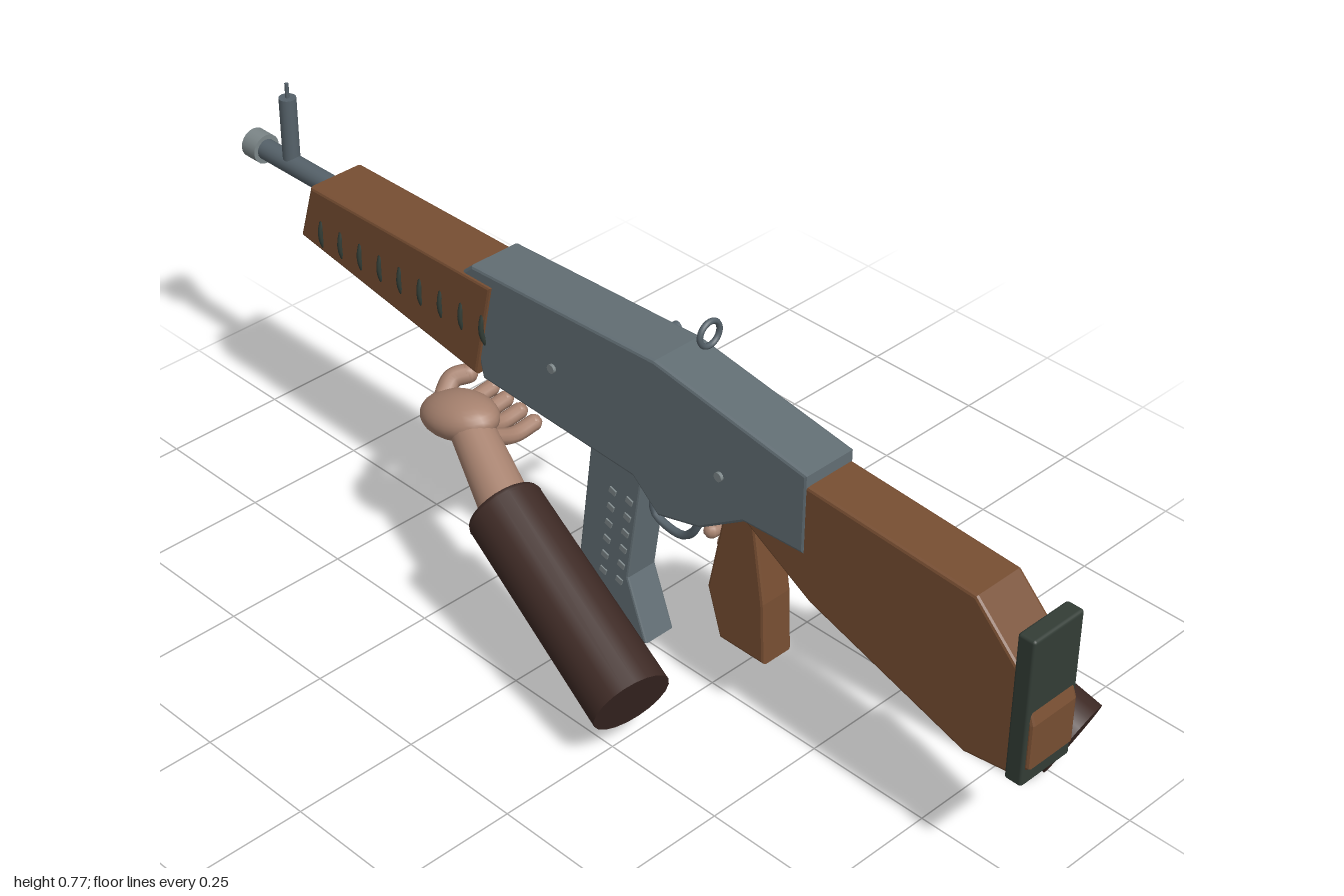
import * as THREE from 'three';
import { RoundedBoxGeometry } from 'three/addons/geometries/RoundedBoxGeometry.js';

const mat = (name, color) => {
  const m = new THREE.MeshStandardMaterial({ color });
  m.name = name;
  return m;
};

export function createModel() {
  const root = new THREE.Group();
  root.name = 'rifleWithArms';
  const steel = mat('steel', 0x626e74);
  const darkSteel = mat('darkSteel', 0x56626a);
  const lightSteel = mat('lightSteel', 0x7c8688);
  const wood = mat('wood', 0x774e32);
  const rubber = mat('rubber', 0x333d36);
  const skin = mat('skin', 0xa88370);
  const cloth = mat('cloth', 0x3e2a25);
  const V = (x, y, z) => new THREE.Vector3(x, y, z);

  const add = (name, geometry, material, parent = root) => {
    const m = new THREE.Mesh(geometry, material);
    m.name = name;
    parent.add(m);
    return m;
  };

  // Side profile in (z, y), extruded across x with a small bevel
  const plank = (name, pts, halfWidth, material, bevel = 0.006) => {
    const shape = new THREE.Shape(pts.map(p => new THREE.Vector2(p[0], p[1])));
    const depth = 2 * (halfWidth - bevel);
    const g = new THREE.ExtrudeGeometry(shape, {
      depth, bevelEnabled: true, bevelSize: bevel, bevelOffset: -bevel,
      bevelThickness: bevel, bevelSegments: 2,
    });
    g.translate(0, 0, -depth / 2);
    g.rotateY(-Math.PI / 2);
    return add(name, g, material);
  };

  // Cylinder between two points
  const rod = (name, a, b, ra, rb, material, parent = root, sides = 16) => {
    const d = b.clone().sub(a);
    const m = add(name, new THREE.CylinderGeometry(rb, ra, d.length(), sides), material, parent);
    m.position.copy(a).addScaledVector(d, 0.5);
    m.quaternion.setFromUnitVectors(V(0, 1, 0), d.normalize());
    return m;
  };

  // Rounded limb along a few points
  const finger = (name, pts, r, parent) => {
    const curve = new THREE.CatmullRomCurve3(pts);
    add(name, new THREE.TubeGeometry(curve, 10, r, 10), skin, parent);
    for (const p of [pts[0], pts[pts.length - 1]])
      add(name + 'Tip', new THREE.SphereGeometry(r, 10, 8), skin, parent).position.copy(p);
  };

  // Receiver
  plank('receiver', [[0.505, 0.62], [0.15, 0.675], [-0.31, 0.657], [-0.335, 0.635], [-0.287, 0.427],
    [0.1, 0.41], [0.163, 0.357], [0.265, 0.385], [0.367, 0.453], [0.505, 0.46]], 0.057, steel);
  for (const s of [-1, 1])
    for (const [z, y] of [[0.31, 0.52], [-0.1, 0.54]])
      rod('rivet', V(s * 0.055, y, z), V(s * 0.063, y, z), 0.009, 0.009, lightSteel, root, 10);

  // Stock and butt pad
  plank('stock', [[0.5, 0.598], [0.866, 0.577], [0.97, 0.475], [1, 0.39], [1, 0.3], [0.955, 0.268],
    [0.866, 0.256], [0.52, 0.367], [0.36, 0.458], [0.4, 0.55]], 0.055, wood);
  add('buttPad', new RoundedBoxGeometry(0.122, 0.298, 0.036, 2, 0.006), rubber).position.set(0, 0.411, 0.974);

  // Handguard with ring vents
  plank('handguard', [[-0.255, 0.635], [-0.753, 0.632], [-0.79, 0.512], [-0.298, 0.432]], 0.062, wood);
  for (let i = 0; i < 9; i++)
    add('ventRing', new THREE.TorusGeometry(0.064, 0.005, 8, 32), rubber).position.set(0, 0.54, -0.28 - i * 0.056);

  // Pistol grip
  plank('grip', [[0.367, 0.46], [0.398, 0.28], [0.405, 0.152], [0.297, 0.152], [0.265, 0.25], [0.3, 0.43]], 0.035, wood);

  // Magazine with raised side ribs
  plank('magazine', [[0.105, 0.42], [0.067, 0.155], [0.115, 0.03], [0, 0], [-0.062, 0.117], [-0.025, 0.425]], 0.035, steel, 0.004);
  for (const s of [-1, 1])
    for (let i = 0; i < 6; i++)
      for (const c of [0, 1]) {
        const rib = add('magazineRib', new THREE.BoxGeometry(0.006, 0.012, 0.016), lightSteel);
        rib.position.set(s * 0.035, 0.33 - i * 0.038, 0.072 - c * 0.042 - i * 0.005);
        rib.rotation.x = 0.3;
      }

  // Trigger and guard
  const guard = new THREE.CatmullRomCurve3([V(0, 0.37, 0.22), V(0, 0.31, 0.195), V(0, 0.288, 0.165),
    V(0, 0.298, 0.105), V(0, 0.32, 0.095), V(0, 0.42, 0.095)]);
  add('triggerGuard', new THREE.TubeGeometry(guard, 24, 0.008, 8), darkSteel);
  const trigger = new THREE.CatmullRomCurve3([V(0, 0.41, 0.125), V(0, 0.375, 0.135), V(0, 0.335, 0.16)]);
  add('trigger', new THREE.TubeGeometry(trigger, 10, 0.008, 8), lightSteel);

  // Barrel and sights
  rod('barrel', V(0, 0.602, -0.7), V(0, 0.602, -0.97), 0.021, 0.021, darkSteel, root, 20);
  rod('muzzle', V(0, 0.602, -0.962), V(0, 0.602, -1), 0.03, 0.03, lightSteel, root, 20);
  rod('frontSightPost', V(0, 0.61, -0.885), V(0, 0.745, -0.885), 0.017, 0.017, darkSteel);
  rod('frontSightPin', V(0, 0.74, -0.885), V(0, 0.775, -0.885), 0.004, 0.004, darkSteel, root, 8);
  add('rearSightRing', new THREE.TorusGeometry(0.0235, 0.0055, 8, 28), darkSteel).position.set(0, 0.74, 0.225);

  // Ejection port and charging handle
  add('ejectionPort', new THREE.BoxGeometry(0.008, 0.05, 0.13), rubber).position.set(0.057, 0.572, 0.045);
  add('bolt', new THREE.BoxGeometry(0.016, 0.018, 0.128), lightSteel).position.set(0.063, 0.588, 0.045);
  rod('chargingHandle', V(0.05, 0.6, 0.022), V(0.13, 0.6, 0.022), 0.011, 0.011, darkSteel);

  // Sleeve, cuff, forearm and palm
  const arm = (name, elbow, cuff, wrist, palm, size) => {
    const g = new THREE.Group();
    g.name = name;
    root.add(g);
    rod('sleeve', elbow, cuff, 0.076, 0.073, cloth, g, 20);
    const dir = cuff.clone().sub(elbow).normalize();
    const rim = add('cuff', new THREE.TorusGeometry(0.062, 0.012, 8, 24), cloth, g);
    rim.position.copy(cuff);
    rim.quaternion.setFromUnitVectors(V(0, 0, 1), dir);
    rod('forearm', cuff.clone().addScaledVector(dir, -0.03), wrist, 0.05, 0.041, skin, g, 20);
    const hand = add('palm', new THREE.SphereGeometry(1, 24, 16), skin, g);
    hand.position.copy(palm);
    hand.scale.set(...size);
    hand.rotation.x = -0.25;
    return g;
  };

  // Arm at the grip
  const gripArm = arm('gripArm', V(0.254, 0.095, 0.863), V(0.19, 0.262, 0.485),
    V(0.115, 0.325, 0.32), V(0.11, 0.328, 0.285), [0.058, 0.044, 0.09]);
  for (let i = 0; i < 4; i++) {
    const z = 0.325 - i * 0.034, y = 0.288 + i * 0.007;
    finger('finger', [V(0.1, y + 0.015, z - 0.005), V(0.065, y, z - 0.01), V(0.03, y - 0.002, z - 0.012)], 0.015, gripArm);
  }
  finger('thumb', [V(0.09, 0.35, 0.25), V(0.06, 0.345, 0.22), V(0.04, 0.34, 0.205)], 0.017, gripArm);

  // Arm at the handguard
  const supportArm = arm('supportArm', V(-0.255, 0.135, 0.302), V(-0.184, 0.298, -0.09),
    V(-0.12, 0.365, -0.25), V(-0.112, 0.372, -0.29), [0.06, 0.044, 0.09]);
  for (let i = 0; i < 4; i++) {
    const z = -0.215 - i * 0.038, y = 0.335 + i * 0.007;
    finger('finger', [V(-0.1, y + 0.02, z), V(-0.05, y, z), V(0.0, y + 0.003, z)], 0.016, supportArm);
  }
  finger('thumb', [V(-0.1, 0.385, -0.345), V(-0.075, 0.405, -0.35), V(-0.05, 0.412, -0.335)], 0.019, supportArm);

  return root;
}
